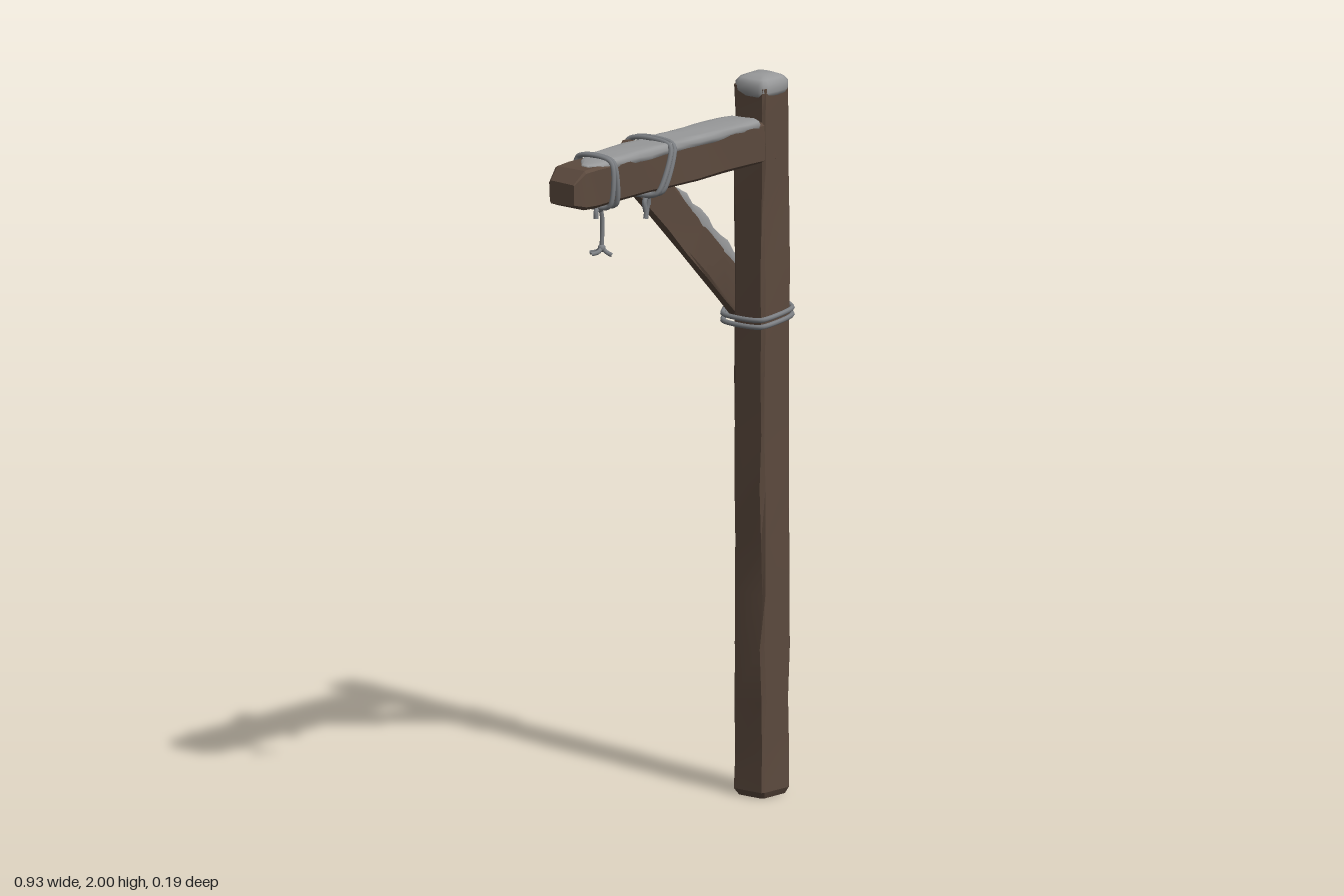
import * as THREE from 'three';
import { toCreasedNormals } from 'three/addons/utils/BufferGeometryUtils.js';

const wood = new THREE.MeshStandardMaterial({ name: 'weathered wood', color: 0x5c4a3e });
const snow = new THREE.MeshStandardMaterial({ name: 'grey snow', color: 0x98999a });
const rope = new THREE.MeshStandardMaterial({ name: 'grey rope', color: 0x7d8084 });

// Small seeded generator for the rough-hewn edges
function seeded(seed) {
  return () => {
    seed = (seed * 16807) % 2147483647;
    return seed / 2147483647 - 0.5;
  };
}

// Cross-sections of unit half-size
function chamferedSquare(c) {
  const e = 1 - c;
  return [[1, -e], [1, e], [e, 1], [-e, 1], [-1, e], [-1, -e], [-e, -1], [e, -1]];
}
function softSquare(n) {
  const p = [];
  for (let i = 0; i < n; i++) {
    const a = (i / n) * Math.PI * 2, c = Math.cos(a), s = Math.sin(a);
    p.push([Math.sign(c) * Math.abs(c) ** 0.5, Math.sign(s) * Math.abs(s) ** 0.5]);
  }
  return p;
}

// Loft along local y; each ring is [y, width, depth, offsetX, offsetZ]
function loft(section, rings, rough, seed) {
  const rnd = seeded(seed), n = section.length, pos = [], idx = [];
  rings.forEach(([y, w, d, ox = 0, oz = 0]) => section.forEach(([u, v]) =>
    pos.push(ox + u * w / 2 + rnd() * rough, y, oz + v * d / 2 + rnd() * rough)));
  const last = rings.length - 1;
  for (let i = 0; i < last; i++) {
    for (let j = 0; j < n; j++) {
      const a = i * n + j, b = i * n + (j + 1) % n;
      idx.push(a, a + n, b, b, a + n, b + n);
    }
  }
  for (const r of [0, last]) {
    const [y, , , ox = 0, oz = 0] = rings[r];
    const centre = pos.length / 3;
    pos.push(ox, y, oz);
    for (let j = 0; j < n; j++) {
      const a = r * n + j, b = r * n + (j + 1) % n;
      idx.push(centre, ...(r ? [b, a] : [a, b]));
    }
  }
  const g = new THREE.BufferGeometry();
  g.setAttribute('position', new THREE.Float32BufferAttribute(pos, 3));
  g.setIndex(idx);
  return g;
}

// Evenly spaced rings for the long middle of a timber
function span(from, to, count, w, d) {
  return Array.from({ length: count }, (_, i) => [from + (to - from) * i / (count - 1), w, d]);
}

function timber(name, rings, rough, seed) {
  const g = toCreasedNormals(loft(chamferedSquare(0.14), rings, rough, seed), 0.35);
  const m = new THREE.Mesh(g, wood);
  m.name = name;
  return m;
}

function snowBank(name, rings, rough, seed) {
  const g = loft(softSquare(16), rings, rough, seed);
  g.computeVertexNormals();
  const m = new THREE.Mesh(g, snow);
  m.name = name;
  return m;
}

function cord(points, closed = false, radius = 0.007) {
  const curve = new THREE.CatmullRomCurve3(points.map(p => new THREE.Vector3(...p)), closed);
  const m = new THREE.Mesh(new THREE.TubeGeometry(curve, closed ? 72 : 14, radius, 7, closed), rope);
  m.name = closed ? 'ropeLoop' : 'ropeStrand';
  return m;
}

function knot(x, y, z, r = 0.013) {
  const m = new THREE.Mesh(new THREE.SphereGeometry(r, 10, 8), rope);
  m.position.set(x, y, z);
  m.name = 'knot';
  return m;
}

function named(name, ...parts) {
  const g = new THREE.Group();
  g.name = name;
  g.add(...parts);
  return g;
}

// Loop around the beam; lean shifts the top along x
function beamLoop(x, lean, z0, z1, y0 = 1.758, y1 = 1.887) {
  const c = 0.014, at = (y, z) => [x + lean * ((y - y0) / (y1 - y0) - 0.5), y, z];
  return cord([at(y0, z0 + c), at(y0, z1 - c), at(y0 + c, z1), at(y1 - c, z1),
    at(y1, z1 - c), at(y1, z0 + c), at(y1 - c, z0), at(y0 + c, z0)], true);
}

export function createModel() {
  const model = new THREE.Group();
  model.name = 'timberPostWithArm';

  // Upright post
  const post = timber('post', [[0, 0.096, 0.09], [0.018, 0.113, 0.108],
    ...span(0.12, 1.9, 13, 0.113, 0.108), [1.97, 0.11, 0.106]], 0.006, 11);
  post.position.set(0.3625, 0, 0.015);
  const postSnow = snowBank('postSnowCap', [[1.945, 0.11, 0.106], [1.958, 0.121, 0.118],
    [1.98, 0.12, 0.117], [1.992, 0.1, 0.098], [2, 0.06, 0.06]], 0.002, 5);
  postSnow.position.copy(post.position);
  model.add(post, postSnow);

  // Horizontal arm, local y runs towards -x and local x points up
  const beam = timber('beam', [...span(0, 0.74, 8, 0.112, 0.108),
    [0.785, 0.11, 0.108], [0.822, 0.062, 0.09, -0.01]], 0.005, 23);
  const beamSnow = snowBank('beamSnow', [[0.055, 0.02, 0.09, 0.05],
    ...span(0.07, 0.66, 13, 0.034, 0.113).map(r => [...r, 0.052]),
    [0.71, 0.026, 0.08, 0.05, 0.01], [0.75, 0.012, 0.03, 0.052, 0.02]], 0.005, 31);
  const arm = named('arm', beam, beamSnow);
  arm.position.set(0.36, 1.822, 0.015);
  arm.rotation.z = Math.PI / 2;
  model.add(arm);

  // Diagonal brace on the back, local x is its upper side
  const brace = timber('braceBoard', [[0, 0.085, 0.028], [0.02, 0.102, 0.035],
    ...span(0.1, 0.66, 6, 0.102, 0.035), [0.715, 0.102, 0.035], [0.738, 0.07, 0.026]], 0.004, 47);
  const braceSnow = snowBank('braceSnow', [[0.03, 0.015, 0.026, 0.05],
    ...span(0.05, 0.44, 11, 0.032, 0.037).map((r, i) =>
      [r[0], 0.034 + 0.012 * Math.sin(i * 1.9), r[2], 0.052]),
    [0.485, 0.014, 0.026, 0.05]], 0.003, 53);
  const diagonal = named('brace', brace, braceSnow);
  diagonal.position.set(0.385, 1.34, -0.057);
  diagonal.rotation.z = Math.PI / 4;
  model.add(diagonal);

  // Rope near the free end with a frayed hanging strand
  model.add(named('endRope',
    beamLoop(-0.328, 0.008, -0.052, 0.078), beamLoop(-0.309, -0.012, -0.05, 0.076),
    knot(-0.322, 1.752, 0.03),
    cord([[-0.322, 1.755, 0.03], [-0.342, 1.745, 0.034], [-0.345, 1.725, 0.036]]),
    cord([[-0.322, 1.755, 0.03], [-0.313, 1.72, 0.03], [-0.315, 1.635, 0.03]], false, 0.006),
    knot(-0.315, 1.638, 0.03, 0.011),
    cord([[-0.315, 1.638, 0.03], [-0.335, 1.63, 0.034], [-0.36, 1.628, 0.03]], false, 0.006),
    cord([[-0.315, 1.638, 0.03], [-0.308, 1.625, 0.045], [-0.305, 1.62, 0.06]], false, 0.006),
    cord([[-0.315, 1.638, 0.03], [-0.312, 1.625, 0.01], [-0.318, 1.62, -0.008]], false, 0.006)));

  // Slanted rope binding brace to beam
  model.add(named('braceTopRope',
    beamLoop(-0.108, 0.06, -0.081, 0.078), beamLoop(-0.088, 0.052, -0.08, 0.076),
    knot(-0.126, 1.752, 0.03),
    cord([[-0.126, 1.755, 0.03], [-0.143, 1.735, 0.034], [-0.14, 1.708, 0.036]]),
    cord([[-0.126, 1.755, 0.03], [-0.122, 1.72, 0.026], [-0.129, 1.685, 0.026]]),
    cord([[-0.126, 1.755, 0.03], [-0.112, 1.74, 0.022], [-0.108, 1.72, 0.018]])));

  // Rope binding the brace foot to the post
  const postLoop = dy => cord([[0.312, 1.316, 0.077], [0.414, 1.328, 0.077], [0.428, 1.331, 0.063],
    [0.428, 1.365, -0.06], [0.415, 1.368, -0.082], [0.315, 1.312, -0.082],
    [0.297, 1.31, -0.06], [0.297, 1.312, 0.062]].map(([x, y, z]) => [x, y + dy, z]), true);
  model.add(named('postRope', postLoop(0), postLoop(0.019),
    knot(0.434, 1.37, -0.06, 0.015),
    cord([[0.434, 1.37, -0.06], [0.445, 1.392, -0.055], [0.43, 1.398, -0.045]]),
    cord([[0.434, 1.37, -0.06], [0.455, 1.36, -0.06], [0.458, 1.34, -0.058]]),
    cord([[0.434, 1.37, -0.06], [0.438, 1.335, -0.068], [0.434, 1.305, -0.066]])));

  return model;
}
